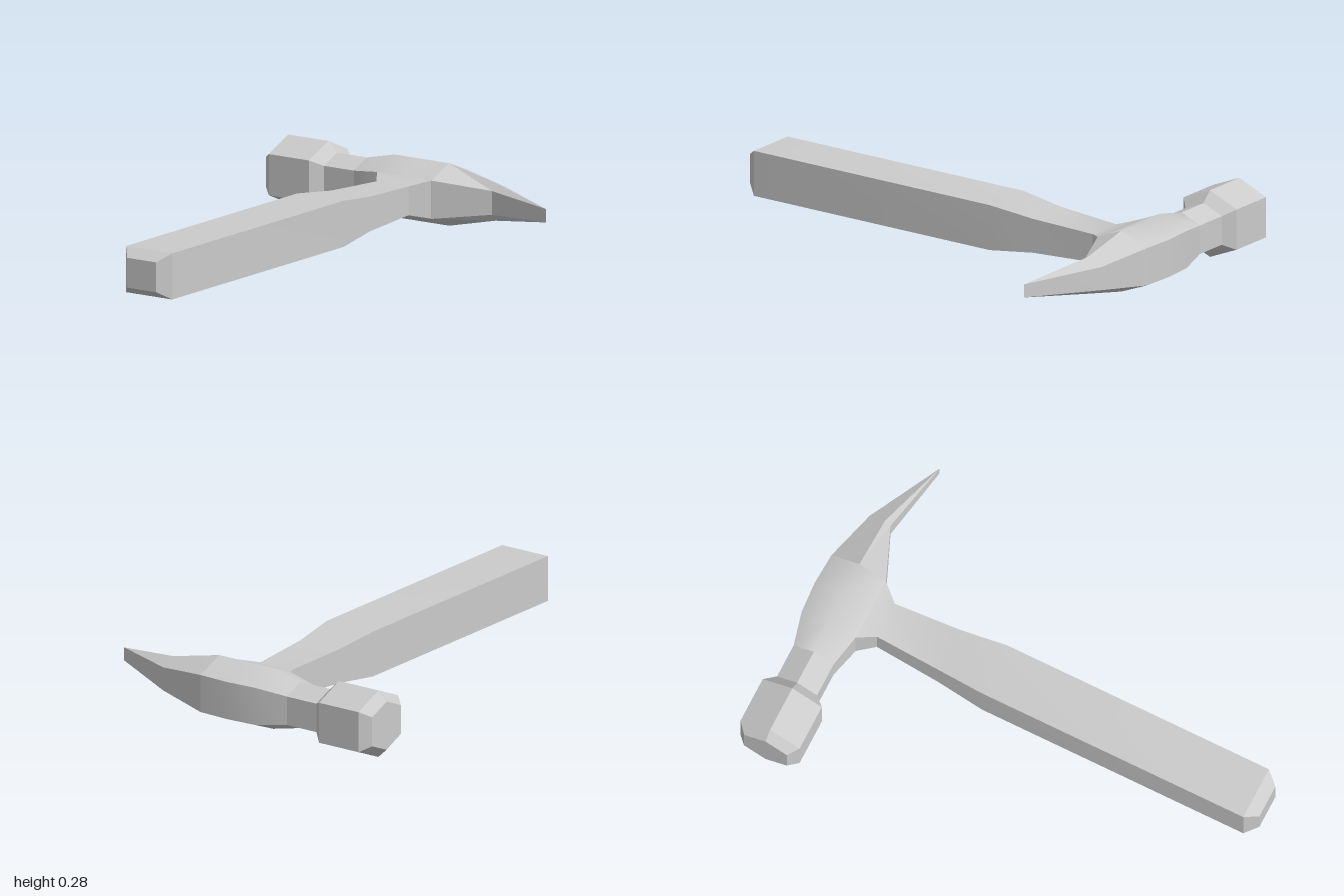
import * as THREE from 'three';
import { toCreasedNormals } from 'three/addons/utils/BufferGeometryUtils.js';

const CY = 0.138; // height of the centre line

// Skin a list of equal-length rings, counter-clockwise about the direction of travel
function loft(rings, capStart, capEnd, crease) {
  const pos = [];
  const tri = (a, b, c) => {
    const area = b.clone().sub(a).cross(c.clone().sub(a)).length();
    if (area > 1e-7) pos.push(...a.toArray(), ...b.toArray(), ...c.toArray());
  };
  const n = rings[0].length;
  for (let i = 0; i < rings.length - 1; i++) {
    for (let j = 0; j < n; j++) {
      const k = (j + 1) % n;
      tri(rings[i][j], rings[i][k], rings[i + 1][k]);
      tri(rings[i][j], rings[i + 1][k], rings[i + 1][j]);
    }
  }
  const first = rings[0], last = rings[rings.length - 1];
  for (let j = 1; j < n - 1; j++) {
    if (capStart) tri(first[0], first[j + 1], first[j]);
    if (capEnd) tri(last[0], last[j], last[j + 1]);
  }
  const geo = new THREE.BufferGeometry();
  geo.setAttribute('position', new THREE.Float32BufferAttribute(pos, 3));
  return toCreasedNormals(geo, crease);
}

// Hexagonal section with a ridge above and below and upright sides
function hex([z, left, ridge, right, peak, side]) {
  return [[right, side], [ridge, peak], [left, side], [left, -side], [ridge, -peak], [right, -side]]
    .map(([x, y]) => new THREE.Vector3(x, CY + y, z));
}

// Rectangular section across the handle
function rect([x, h, zMin, zMax]) {
  return [[-h, zMin], [h, zMin], [h, zMax], [-h, zMax]]
    .map(([y, z]) => new THREE.Vector3(x, CY + y, z));
}

export function createModel() {
  const group = new THREE.Group();
  const material = new THREE.MeshStandardMaterial({ color: 0xcccccc });
  const add = (name, geo) => {
    const mesh = new THREE.Mesh(geo, material);
    mesh.name = name;
    group.add(mesh);
  };

  // Handle: chamfered butt, straight grip, slim neck flaring into the head
  const handle = [
    [-1, 0.06, -0.07, 0.07],
    [-0.95, 0.093, -0.112, 0.112],
    [0.2, 0.093, -0.112, 0.112],
    [0.4, 0.07, -0.094, 0.094],
    [0.68, 0.058, -0.075, 0.08],
    [0.75, 0.077, -0.122, 0.142],
  ];
  add('handle', loft(handle.map(rect), true, false, 0.4));

  // Head sections: z, left x, ridge x, right x, ridge half height, side half height
  const neck = [-0.255, 0.78, 0.867, 0.956, 0.096, 0.059];
  const claw = [0.143, 0.75, 0.867, 0.99, 0.126, 0.077];

  // Striking face, poll and its neck
  const poll = [
    [-0.677, 0.773, 0.867, 0.961, 0.1, 0.06],
    [-0.637, 0.737, 0.867, 0.997, 0.138, 0.083],
    [-0.443, 0.737, 0.867, 0.997, 0.138, 0.083],
    [-0.4, 0.78, 0.867, 0.956, 0.096, 0.059],
    neck,
  ];
  add('poll', loft(poll.map(hex), true, false, 0.4));

  // Softly shaded centre of the head around the handle
  const eye = [
    neck,
    [-0.122, 0.75, 0.867, 0.988, 0.126, 0.077],
    [0.01, 0.75, 0.867, 0.997, 0.126, 0.077],
    claw,
  ];
  add('headCentre', loft(eye.map(hex), false, false, 0.9));

  // Curved pick tapering to an upright edge
  const pick = [
    claw,
    [0.367, 0.843, 0.867, 0.935, 0.076, 0.048],
    [0.673, 0.782, 0.782, 0.782, 0.027, 0.027],
  ];
  add('pick', loft(pick.map(hex), false, false, 0.4));

  return group;
}
